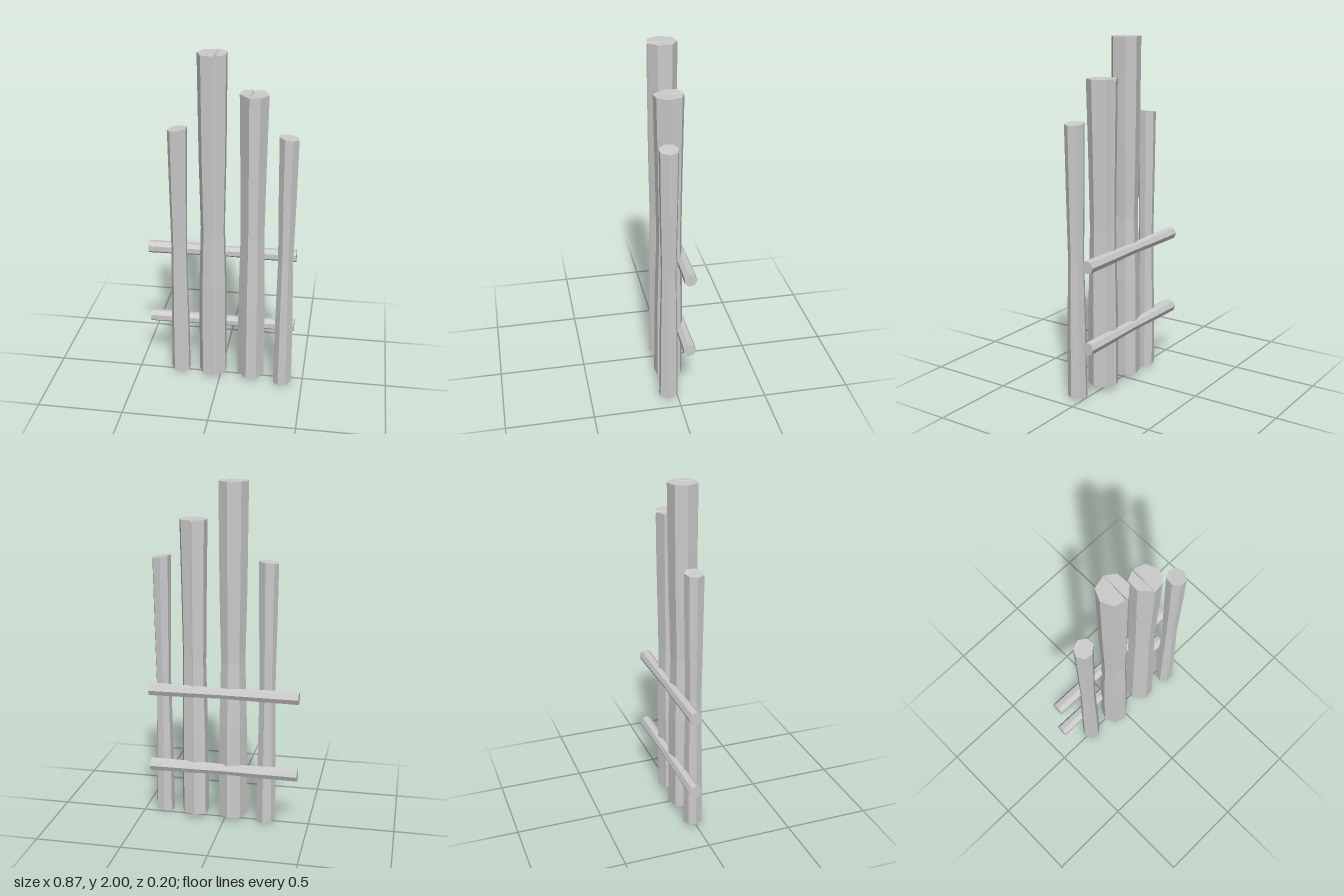
import * as THREE from 'three';

const material = new THREE.MeshStandardMaterial({ color: 0xcccccc, flatShading: true });

// Rough-hewn log: an [x, z] outline (clockwise from above) swept up y through
// [y, scale] levels. Ends slope along x; the top corner "notch" is sunk as a crack.
function logGeometry(outline, levels, { topSlope = 0, baseSlope = 0, notch = -1 } = {}) {
  const n = outline.length, last = levels.length - 1;
  const cx = outline.reduce((s, p) => s + p[0], 0) / n;
  const cz = outline.reduce((s, p) => s + p[1], 0) / n;
  const pos = [], index = [];
  levels.forEach(([y, s], l) => outline.forEach(([x, z], i) => {
    const slope = l === last ? topSlope : l === 0 ? baseSlope : 0;
    const sunk = l === last && i === notch ? 0.015 : 0;
    pos.push(cx + (x - cx) * s, y + slope * (x - cx) - sunk, cz + (z - cz) * s);
  }));
  for (let l = 0; l < last; l++) {
    for (let i = 0; i < n; i++) {
      const a = l * n + i, b = l * n + (i + 1) % n;
      index.push(b, a, a + n, b, a + n, b + n);
    }
  }
  const t = last * n;
  for (let i = 1; i < n - 1; i++) index.push(0, i, i + 1, t, t + i + 1, t + i);
  const indexed = new THREE.BufferGeometry();
  indexed.setAttribute('position', new THREE.Float32BufferAttribute(pos, 3));
  indexed.setIndex(index);
  const geometry = indexed.toNonIndexed();
  geometry.computeVertexNormals();
  return geometry;
}

// Upright posts, from the model's right to its left
const posts = [
  {
    name: 'rightThinPost',
    outline: [[-0.235, -0.06], [-0.195, -0.03], [-0.195, 0.015], [-0.235, 0.047], [-0.28, 0.04], [-0.303, -0.005], [-0.283, -0.045]],
    levels: [[0.008, 1], [0.4, 0.95], [0.82, 0.82], [1.2, 0.92], [1.563, 1]],
    ends: { topSlope: 0.13, baseSlope: -0.12 },
  },
  {
    name: 'tallPost',
    outline: [[-0.025, -0.078], [0.03, -0.04], [0.033, 0.04], [-0.015, 0.083], [-0.026, 0.09], [-0.036, 0.088], [-0.1, 0.072], [-0.13, 0.005], [-0.1, -0.06]],
    levels: [[0.03, 1], [0.6, 0.97], [0.98, 0.84], [1.4, 0.94], [2, 1]],
    ends: { notch: 4 },
  },
  {
    name: 'middlePost',
    outline: [[0.165, 0.093], [0.105, 0.025], [0.11, -0.045], [0.164, -0.07], [0.174, -0.074], [0.186, -0.068], [0.24, -0.05], [0.265, 0.022], [0.225, 0.085]],
    levels: [[0.03, 1], [0.5, 0.97], [0.95, 0.85], [1.35, 0.91], [1.785, 1]],
    ends: { notch: 4 },
  },
  {
    name: 'leftThinPost',
    outline: [[0.375, -0.005], [0.42, 0.01], [0.435, 0.055], [0.405, 0.1], [0.36, 0.1], [0.328, 0.065], [0.335, 0.015]],
    levels: [[0.007, 1], [0.4, 0.95], [0.82, 0.8], [1.2, 0.92], [1.563, 1]],
    ends: { topSlope: -0.13, baseSlope: 0.12 },
  },
];

export function createModel() {
  const group = new THREE.Group();
  const add = (name, geometry) => {
    const mesh = new THREE.Mesh(geometry, material);
    mesh.name = name;
    group.add(mesh);
    return mesh;
  };

  for (const { name, outline, levels, ends } of posts) add(name, logGeometry(outline, levels, ends));

  // Two horizontal rails behind the posts, thinner at the middle
  const ring = [];
  for (let i = 0; i < 7; i++) {
    const a = (i / 7) * Math.PI * 2 + 0.2;
    ring.push([Math.cos(a) * 0.038, Math.sin(a) * 0.038]);
  }
  const rail = logGeometry(ring, [[-0.437, 1], [-0.22, 0.94], [0, 0.82], [0.22, 0.94], [0.434, 1]]);
  rail.rotateZ(-Math.PI / 2);
  [['lowerRail', 0.333], ['upperRail', 0.8]].forEach(([name, y]) => {
    add(name, rail).position.set(0, y, -0.063);
  });

  return group;
}
